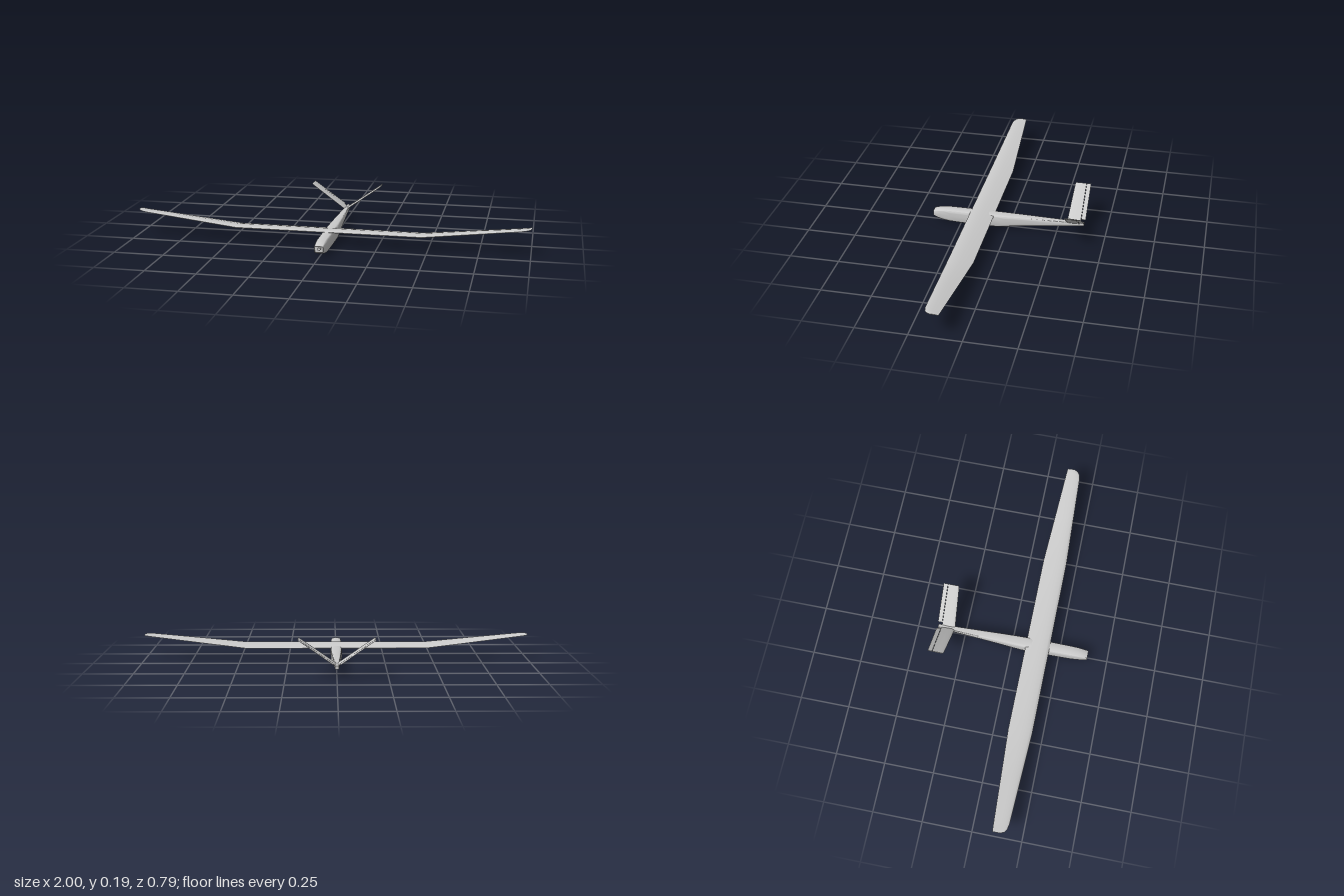
import * as THREE from 'three';
import { toCreasedNormals } from 'three/addons/utils/BufferGeometryUtils.js';

const grey = new THREE.MeshStandardMaterial({ color: 0xcccccc });
const greyBoth = new THREE.MeshStandardMaterial({ color: 0xcccccc, side: THREE.DoubleSide });

// Skin a row of equal-sized rings of [x, y, z] points, with optional end caps
function loft(rings, capStart = true, capEnd = true, crease = 0.6) {
  const n = rings[0].length, last = (rings.length - 1) * n, index = [];
  for (let r = 0; r < rings.length - 1; r++) {
    for (let i = 0; i < n; i++) {
      const a = r * n + i, b = r * n + (i + 1) % n;
      index.push(a, a + n, b, b, a + n, b + n);
    }
  }
  for (let i = 1; i < n - 1; i++) {
    if (capStart) index.push(0, i, i + 1);
    if (capEnd) index.push(last, last + i + 1, last + i);
  }
  const geo = new THREE.BufferGeometry();
  geo.setAttribute('position', new THREE.Float32BufferAttribute(rings.flat(2), 3));
  geo.setIndex(index);
  return toCreasedNormals(geo, crease);
}

// Profiles: [chord fraction, upper height, lower height], heights in thicknesses
const wingProfile = [[0, 0.3, 0.2], [0.03, 0.6, 0.03], [0.12, 0.86, -0.03], [0.3, 1, 0],
  [0.5, 0.88, 0], [0.75, 0.5, 0], [1, 0.06, 0]];
const finProfile = [[0, 0.06, -0.06], [0.06, 0.3, -0.3], [0.2, 0.45, -0.45], [0.5, 0.5, -0.5], [1, 0.32, -0.32]];
const flapProfile = [[0, 0.32, -0.32], [1, 0.05, -0.05]];

// One rib, from leading edge over the top to the trailing edge and back below
function rib(profile, x, y, zLead, zTrail, thick, normal = [0, 1], drop = 0) {
  const at = (f, h) => [x + normal[0] * h * thick, y + normal[1] * h * thick - drop * f,
    zLead + (zTrail - zLead) * f];
  return [...profile.map(([f, u]) => at(f, u)), ...[...profile].reverse().map(([f, , l]) => at(f, l))];
}

// Rounded-rectangle fuselage frame
function frame([z, top, bottom, half], scale = 1, points = 32) {
  const ring = [], cy = (top + bottom) / 2, hy = (top - bottom) / 2;
  const round = v => Math.sign(v) * Math.abs(v) ** 0.42;
  for (let i = 0; i < points; i++) {
    const a = (i / points) * Math.PI * 2;
    ring.push([half * scale * round(Math.cos(a)), cy + hy * scale * round(Math.sin(a)), z]);
  }
  return ring;
}

export function createModel() {
  const model = new THREE.Group();
  model.name = 'glider';
  const add = (name, geo, mat = grey) => {
    const mesh = new THREE.Mesh(geo, mat);
    mesh.name = name;
    model.add(mesh);
    return mesh;
  };

  // Fuselage: [z, top, bottom, half width], nose to tail
  const frames = [
    [0.397, 0.058, 0.028, 0.022], [0.385, 0.062, 0.021, 0.024], [0.365, 0.067, 0.014, 0.0255],
    [0.34, 0.07, 0.008, 0.027], [0.31, 0.072, 0.004, 0.028], [0.27, 0.072, 0.002, 0.0285],
    [0.2, 0.072, 0.001, 0.029], [0.055, 0.071, 0.001, 0.029], [0.02, 0.071, 0.006, 0.028],
    [-0.07, 0.071, 0.02, 0.024], [-0.2, 0.07, 0.034, 0.018], [-0.39, 0.07, 0.052, 0.009],
  ];
  add('fuselage', loft(frames.map(f => frame(f)), false, true, 0.5), greyBoth);

  // Motor bulkhead and shaft set inside the open nose
  add('noseBulkhead', loft([frame([0.374, 0.064, 0.018, 0.0245], 0.97), frame([0.37, 0.065, 0.016, 0.025], 0.97)]));
  const shaft = add('motorShaft', new THREE.CylinderGeometry(0.008, 0.008, 0.02, 16));
  shaft.rotation.x = Math.PI / 2;
  shaft.position.set(0, 0.042, 0.382);

  // Wing: flat centre panel, raised outer panels, rounded tips
  const half = [
    // x, y, leading z, trailing z, thickness, trailing drop
    [0.47, 0.07, 0.198, 0.075, 0.012, 0.006],
    [0.72, 0.097, 0.188, 0.089, 0.01, 0.004],
    [0.95, 0.122, 0.179, 0.1015, 0.007, 0.002],
    [0.975, 0.125, 0.173, 0.103, 0.006, 0.002],
    [0.992, 0.127, 0.162, 0.104, 0.005, 0.001],
    [1, 0.128, 0.145, 0.106, 0.003, 0.001],
  ];
  const ribs = [...half.map(([x, ...r]) => [-x, ...r]).reverse(), ...half];
  add('wing', loft(ribs.map(([x, y, lead, trail, t, drop]) =>
    rib(wingProfile, x, y, lead, trail, t, [0, 1], drop))));

  // V-tail: a fixed fin and a hinged surface on each side
  for (const s of [1, -1]) {
    const side = s > 0 ? 'left' : 'right';
    const normal = [-0.58 * s, 0.81];
    const surface = (name, profile, ends) => {
      const rings = ends.map(([x, y, lead, trail, t]) => rib(profile, x * s, y, lead, trail, t, normal));
      add(name, loft(s > 0 ? rings : rings.reverse()));
    };
    surface(side + 'TailFin', finProfile, [
      [0.006, 0.066, -0.302, -0.371, 0.008], [0.18, 0.189, -0.313, -0.371, 0.007],
      [0.187, 0.194, -0.317, -0.371, 0.004]]);
    surface(side + 'TailFlap', flapProfile, [
      [0.018, 0.0745, -0.3725, -0.395, 0.007], [0.18, 0.189, -0.3725, -0.395, 0.006],
      [0.187, 0.194, -0.3725, -0.395, 0.004]]);
  }
  return model;
}
